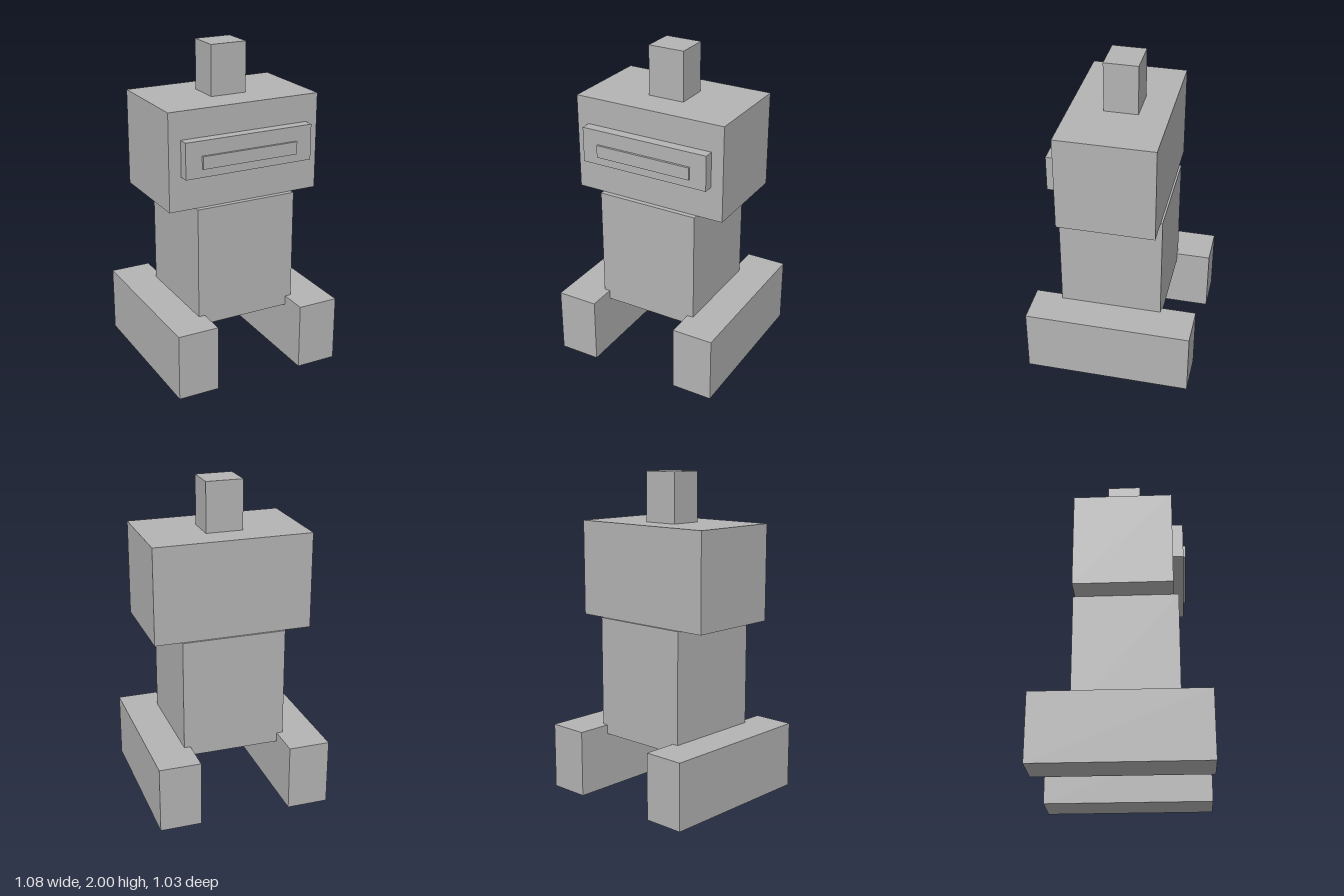
import * as THREE from 'three';

export function createModel() {
  const model = new THREE.Group();
  model.name = 'robot';
  const grey = new THREE.MeshStandardMaterial({ color: 0xb3b3b3 });
  grey.name = 'grey';

  // Adds a box spanning the given [min, max] ranges
  function addBox(name, [x0, x1], [y0, y1], [z0, z1]) {
    const mesh = new THREE.Mesh(new THREE.BoxGeometry(x1 - x0, y1 - y0, z1 - z0), grey);
    mesh.position.set((x0 + x1) / 2, (y0 + y1) / 2, (z0 + z1) / 2);
    mesh.name = name;
    model.add(mesh);
  }

  // Track feet, mirrored left and right
  addBox('leftFoot', [0.283, 0.54], [0, 0.412], [-0.516, 0.516]);
  addBox('rightFoot', [-0.54, -0.283], [0, 0.412], [-0.516, 0.516]);

  // Body and head
  addBox('torso', [-0.322, 0.322], [0.354, 1.1], [-0.297, 0.338]);
  addBox('head', [-0.488, 0.488], [1.1, 1.693], [-0.285, 0.308]);

  // Face plate with a raised eye strip
  addBox('visor', [-0.412, 0.412], [1.306, 1.525], [0.3, 0.371]);
  addBox('eyeStrip', [-0.309, 0.309], [1.358, 1.435], [0.365, 0.385]);

  // Block on top of the head
  addBox('topBlock', [-0.115, 0.115], [1.69, 2], [-0.104, 0.102]);

  return model;
}
